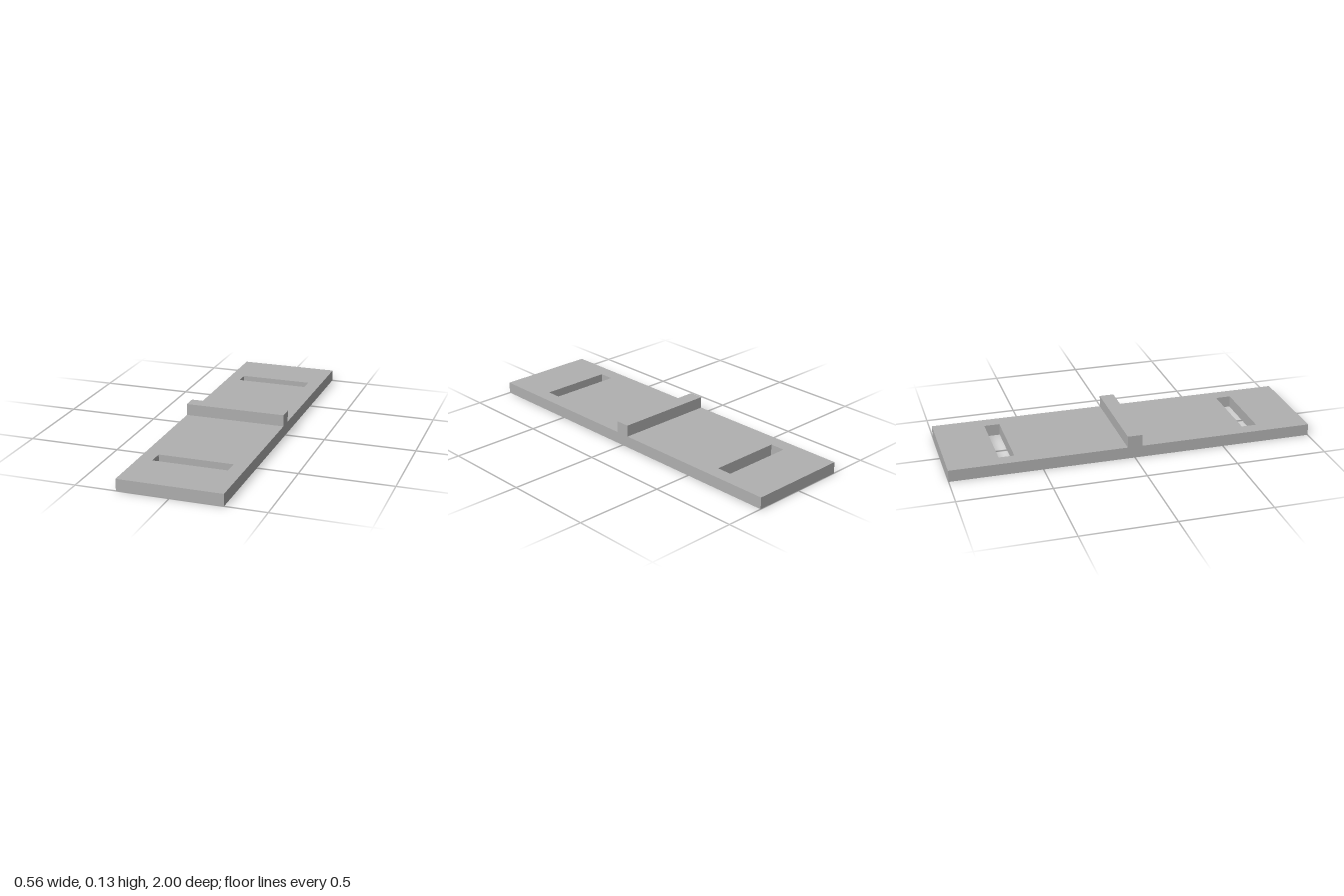
import * as THREE from 'three';

const WIDTH = 0.56, LENGTH = 2, THICK = 0.064;
const SLOT_WIDTH = 0.405, SLOT_LENGTH = 0.084, SLOT_Z = 0.68;
const RIB_LENGTH = 0.08, RIB_HEIGHT = 0.064;

// Adds a centred rectangle to a Shape or Path
function rectangle(path, y, w, h) {
  path.moveTo(-w / 2, y - h / 2);
  path.lineTo(w / 2, y - h / 2);
  path.lineTo(w / 2, y + h / 2);
  path.lineTo(-w / 2, y + h / 2);
  path.closePath();
  return path;
}

export function createModel() {
  const group = new THREE.Group();
  group.name = 'slottedPlate';
  const grey = new THREE.MeshStandardMaterial({ color: 0xb0b0b0 });
  grey.name = 'plain grey';

  // Flat plate with a through slot near each end
  const outline = rectangle(new THREE.Shape(), 0, WIDTH, LENGTH);
  for (const side of [-1, 1]) {
    outline.holes.push(rectangle(new THREE.Path(), side * SLOT_Z, SLOT_WIDTH, SLOT_LENGTH));
  }
  const plateGeometry = new THREE.ExtrudeGeometry(outline, { depth: THICK, bevelEnabled: false });
  plateGeometry.rotateX(-Math.PI / 2);
  const plate = new THREE.Mesh(plateGeometry, grey);
  plate.name = 'plate';
  group.add(plate);

  // Raised rib across the middle
  const rib = new THREE.Mesh(new THREE.BoxGeometry(WIDTH, RIB_HEIGHT, RIB_LENGTH), grey);
  rib.name = 'centreRib';
  rib.position.y = THICK + RIB_HEIGHT / 2;
  group.add(rib);

  return group;
}
